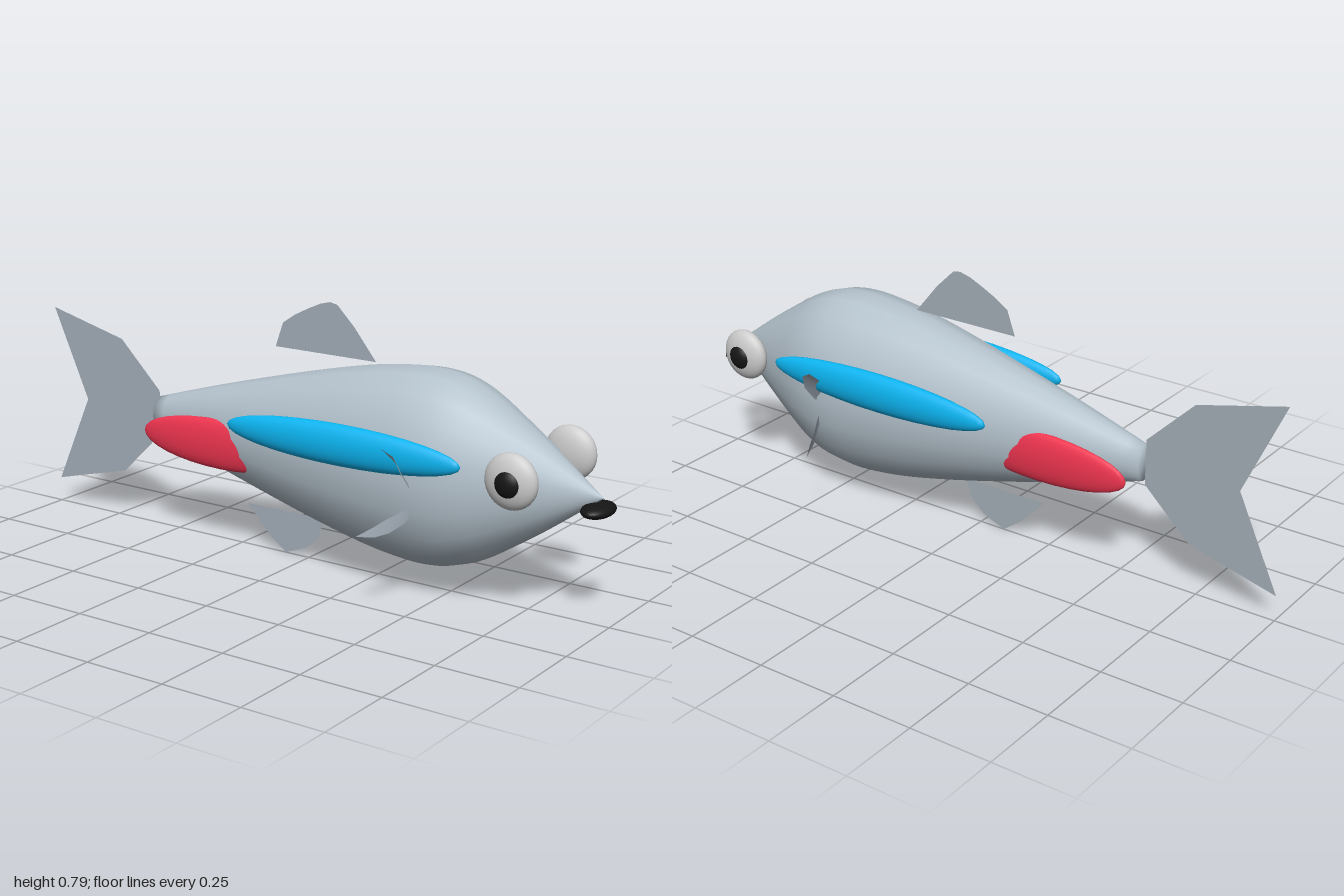
import * as THREE from 'three';

const mat = (color, double) => new THREE.MeshStandardMaterial({
  color, side: double ? THREE.DoubleSide : THREE.FrontSide,
});
const bodyMat = mat(0xb4c2cc);
const finMat = mat(0xa3adb8, true);
const blue = mat(0x0cb4f0);
const red = mat(0xf03550);
const black = mat(0x151515);
const white = mat(0xd8d6d4);

function add(parent, name, geometry, material) {
  const mesh = new THREE.Mesh(geometry, material);
  mesh.name = name;
  parent.add(mesh);
  return mesh;
}

function ellipsoid(parent, name, center, radii, material) {
  const g = new THREE.SphereGeometry(1, 32, 20);
  g.rotateX(Math.PI / 2);
  g.scale(...radii);
  return add(parent, name, g, material).position.set(...center);
}

// Flat fin in the middle plane
function flatFin(parent, name, points) {
  const shape = new THREE.Shape(points.map(([x, y]) => new THREE.Vector2(x, y)));
  add(parent, name, new THREE.ShapeGeometry(shape), finMat);
}

// Small side fin: a strip between a leading and a trailing edge
function sideFin(parent, name, edgeA, edgeB, side) {
  const pos = [], index = [];
  edgeA.forEach((a, i) => {
    for (const [x, y, z] of [a, edgeB[i]]) pos.push(x, y, z * side);
    if (i) index.push(2 * i - 2, 2 * i - 1, 2 * i, 2 * i - 1, 2 * i + 1, 2 * i);
  });
  const g = new THREE.BufferGeometry();
  g.setAttribute('position', new THREE.Float32BufferAttribute(pos, 3));
  g.setIndex(index);
  g.computeVertexNormals();
  add(parent, name, g, finMat);
}

export function createModel() {
  const fish = new THREE.Group();
  fish.name = 'fish';

  // Body: turned along x, narrower in z, closed at the tail
  const profile = new THREE.SplineCurve([
    [-0.567, 0.056], [-0.31, 0.133], [0, 0.216], [0.22, 0.266], [0.36, 0.286],
    [0.45, 0.289], [0.53, 0.277], [0.61, 0.245], [0.7, 0.19], [0.8, 0.123], [0.9, 0.05], [0.968, 0],
  ].map(([x, r]) => new THREE.Vector2(r, x))).getPoints(44);
  profile.forEach((p) => { p.x = Math.max(p.x, 0); });
  const bodyGeo = new THREE.LatheGeometry([new THREE.Vector2(0, -0.567), ...profile], 20);
  bodyGeo.rotateZ(-Math.PI / 2);
  bodyGeo.scale(1, 1, 0.68);
  add(fish, 'body', bodyGeo, bodyMat).position.y = 0.363;

  // Middle fins
  flatFin(fish, 'tailFin', [
    [-0.57, 0.435], [-0.72, 0.582], [-1, 0.651], [-0.87, 0.364],
    [-1, 0.078], [-0.72, 0.15], [-0.57, 0.295],
  ]);
  flatFin(fish, 'dorsalFin', [
    [-0.12, 0.638], [-0.093, 0.713], [-0.05, 0.742], [0, 0.767], [0.04, 0.785],
    [0.075, 0.794], [0.1, 0.789], [0.16, 0.73], [0.235, 0.638],
  ]);
  flatFin(fish, 'bellyFin', [
    [-0.23, 0.131], [-0.18, 0.08], [-0.14, 0.04], [-0.085, 0], [-0.045, 0.015],
    [-0.01, 0.03], [0.033, 0.067], [0.055, 0.131],
  ]);

  // Paired parts on both sides
  for (const side of [1, -1]) {
    const half = new THREE.Group();
    half.name = side > 0 ? 'nearSide' : 'farSide';
    fish.add(half);
    ellipsoid(half, 'blueStripe', [0.24, 0.438, 0.195 * side], [0.395, 0.061, 0.032], blue);
    ellipsoid(half, 'redPatch', [-0.265, 0.332, 0.088 * side], [0.295, 0.078, 0.024], red);
    ellipsoid(half, 'eye', [0.778, 0.42, 0.17 * side], [0.08, 0.08, 0.036], white);
    ellipsoid(half, 'pupil', [0.78, 0.418, 0.19 * side], [0.041, 0.041, 0.026], black);
    sideFin(half, 'upperPectoralFin',
      [[0.43, 0.477, 0.273], [0.435, 0.435, 0.222], [0.45, 0.39, 0.195], [0.47, 0.34, 0.17]],
      [[0.43, 0.477, 0.273], [0.465, 0.457, 0.265], [0.475, 0.41, 0.245], [0.476, 0.355, 0.2]], side);
    sideFin(half, 'lowerPectoralFin',
      [[0.395, 0.237, 0.34], [0.42, 0.255, 0.295], [0.44, 0.273, 0.25], [0.463, 0.288, 0.21], [0.48, 0.302, 0.175]],
      [[0.395, 0.237, 0.34], [0.425, 0.228, 0.295], [0.445, 0.232, 0.25], [0.465, 0.25, 0.21], [0.478, 0.275, 0.175]], side);
  }

  // Mouth
  ellipsoid(fish, 'mouth', [0.953, 0.329, 0], [0.043, 0.021, 0.068], black);
  return fish;
}
